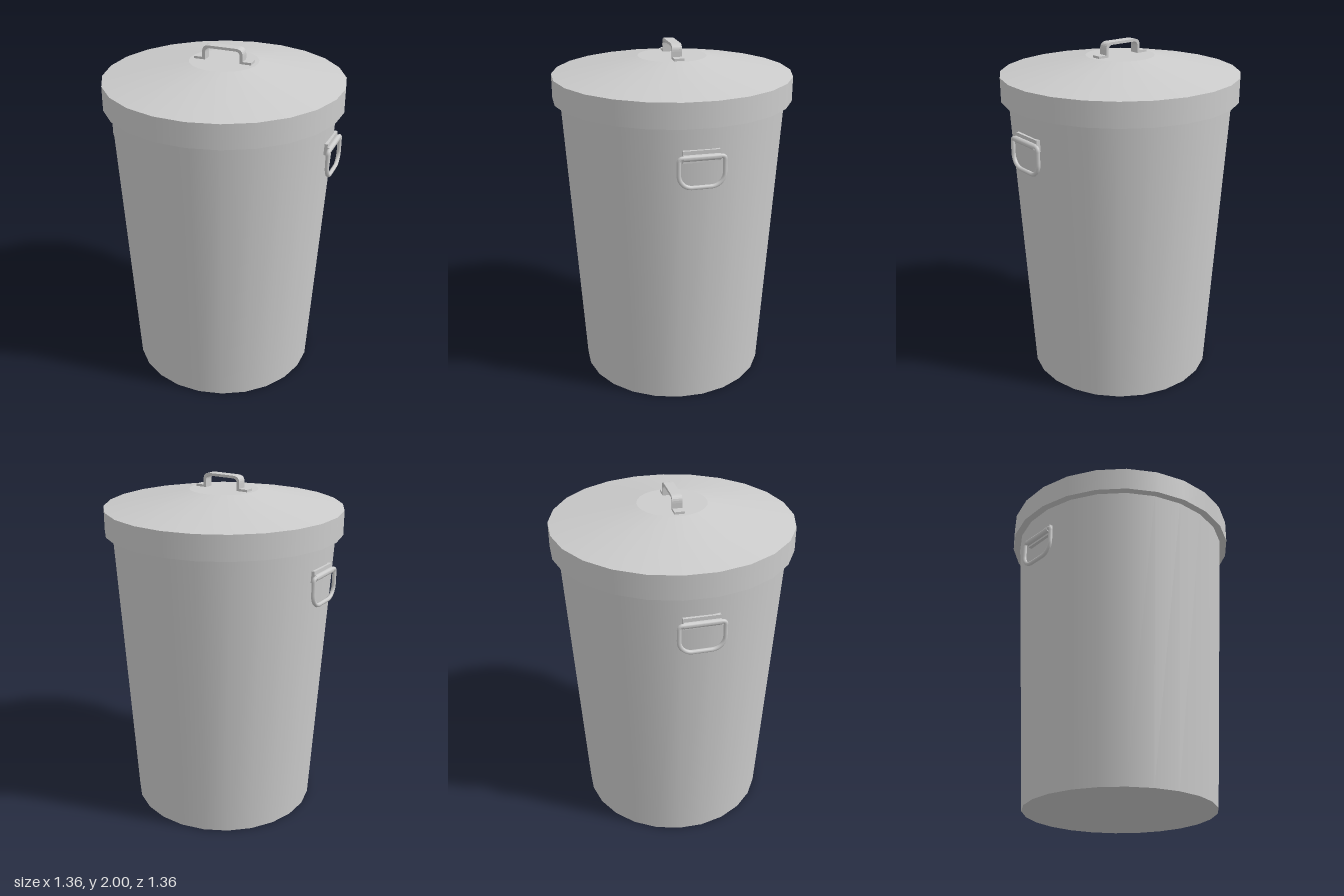
import * as THREE from 'three';

const SIDES = 24;
const PHASE = 0.103; // turn of the 24-sided outline

export function createModel() {
  const group = new THREE.Group();
  const mat = new THREE.MeshStandardMaterial({ color: 0xcccccc });

  const add = (name, geometry, parent = group) => {
    const mesh = new THREE.Mesh(geometry, mat);
    mesh.name = name;
    parent.add(mesh);
    return mesh;
  };

  // Tapered round section between two heights
  const section = (name, rBottom, rTop, y0, y1, open, parent) => {
    const g = new THREE.CylinderGeometry(rTop, rBottom, y1 - y0, SIDES, 1, open, PHASE);
    add(name, g.translate(0, (y0 + y1) / 2, 0), parent);
  };

  // Bin body
  section('body', 0.545, 0.641, 0, 1.7, false, group);

  // Lid: straight rim, shallow cone and flat centre
  const lid = new THREE.Group();
  lid.name = 'lid';
  group.add(lid);
  section('lidRim', 0.682, 0.682, 1.685, 1.823, false, lid);
  section('lidCone', 0.682, 0.195, 1.823, 1.918, true, lid);
  const disc = new THREE.CircleGeometry(0.195, SIDES, PHASE - Math.PI / 2);
  add('lidCentre', disc.rotateX(-Math.PI / 2).translate(0, 1.918, 0), lid);

  // Lid handle: bent strap with two flat feet
  const strap = new THREE.Shape();
  strap.moveTo(-0.17, 1.916);
  strap.lineTo(-0.103, 1.916);
  strap.lineTo(-0.103, 1.958);
  strap.quadraticCurveTo(-0.103, 1.985, -0.076, 1.985);
  strap.lineTo(0.076, 1.985);
  strap.quadraticCurveTo(0.103, 1.985, 0.103, 1.958);
  strap.lineTo(0.103, 1.916);
  strap.lineTo(0.17, 1.916);
  strap.lineTo(0.17, 1.931);
  strap.lineTo(0.12, 1.931);
  strap.lineTo(0.12, 1.96);
  strap.quadraticCurveTo(0.12, 2, 0.08, 2);
  strap.lineTo(-0.08, 2);
  strap.quadraticCurveTo(-0.12, 2, -0.12, 1.96);
  strap.lineTo(-0.12, 1.931);
  strap.lineTo(-0.17, 1.931);
  strap.closePath();
  const strapGeo = new THREE.ExtrudeGeometry(strap, { depth: 0.056, bevelEnabled: false, curveSegments: 6 });
  add('lidHandle', strapGeo.translate(0, 0, -0.028), lid);

  // Outline of the D-shaped ring, centred on the tube
  const d = new THREE.Shape();
  d.moveTo(-0.105, 1.527);
  d.lineTo(0.105, 1.527);
  d.quadraticCurveTo(0.123, 1.527, 0.123, 1.51);
  d.lineTo(0.123, 1.44);
  d.absarc(0.05, 1.437, 0.073, 0, -Math.PI / 2, true);
  d.lineTo(-0.05, 1.364);
  d.absarc(-0.05, 1.437, 0.073, -Math.PI / 2, -Math.PI, true);
  d.lineTo(-0.123, 1.51);
  d.quadraticCurveTo(-0.123, 1.527, -0.105, 1.527);
  const points = d.getSpacedPoints(60).slice(0, -1).map((p) => new THREE.Vector3(0.652, p.y, p.x));
  const path = new THREE.CatmullRomCurve3(points, true);

  // Hanging handles on both sides
  for (const side of [1, -1]) {
    const handle = new THREE.Group();
    handle.name = side > 0 ? 'leftHandle' : 'rightHandle';
    if (side < 0) handle.rotation.y = Math.PI;
    group.add(handle);
    add('ring', new THREE.TubeGeometry(path, 90, 0.012, 8, true), handle);
    // Bracket plate against the body, with a sleeve around the ring's top bar
    add('bracketPlate', new THREE.BoxGeometry(0.025, 0.065, 0.2).translate(0.63, 1.528, 0), handle);
    const sleeve = new THREE.CylinderGeometry(0.017, 0.017, 0.2, 12).rotateX(Math.PI / 2);
    add('bracketSleeve', sleeve.translate(0.647, 1.524, 0), handle);
  }
  return group;
}
